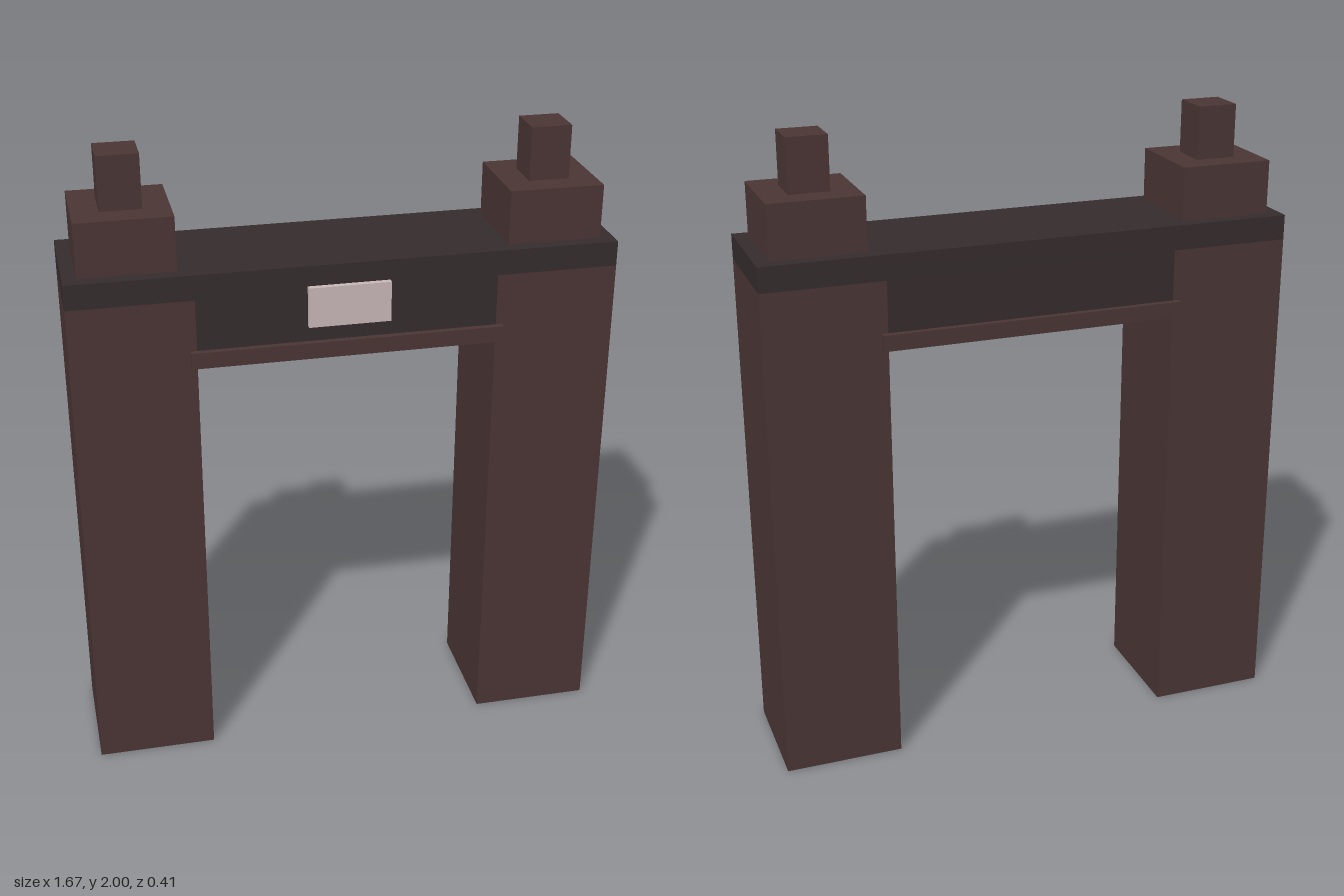
import * as THREE from 'three';

export function createModel() {
  const model = new THREE.Group();
  model.name = 'gateway';

  const mat = (name, color, side = THREE.FrontSide) => {
    const m = new THREE.MeshStandardMaterial({ color, side });
    m.name = name;
    return m;
  };
  const brown = mat('brown stone', 0x4a3534, THREE.DoubleSide);
  const dark = mat('dark stone', 0x352c2d, THREE.DoubleSide);
  const pale = mat('pale plaque', 0xc9b8b8);

  const add = (parent, name, geometry, material, x = 0, y = 0, z = 0) => {
    const mesh = new THREE.Mesh(geometry, material);
    mesh.name = name;
    mesh.position.set(x, y, z);
    parent.add(mesh);
  };
  // Box standing on height y0 and reaching y1
  const block = (parent, name, w, y0, y1, d, material, x = 0, z = 0) =>
    add(parent, name, new THREE.BoxGeometry(w, y1 - y0, d), material, x, (y0 + y1) / 2, z);

  const W = 0.833, INNER = 0.458, D = 0.375;
  const pillarW = W - INNER, pillarX = (W + INNER) / 2;
  const pillarTop = 1.59, beamTop = 1.668;

  // Towers: pillar hollow at the foot, with a stepped finial on top
  for (const side of [-1, 1]) {
    const tower = new THREE.Group();
    tower.name = side > 0 ? 'leftTower' : 'rightTower';
    tower.position.x = side * pillarX;
    const shaft = new THREE.BoxGeometry(pillarW, pillarTop, D);
    const index = Array.from(shaft.index.array);
    index.splice(18, 6); // leave the underside open
    shaft.setIndex(index);
    shaft.clearGroups();
    add(tower, 'pillar', shaft, brown, 0, pillarTop / 2, 0);
    const ceiling = new THREE.PlaneGeometry(pillarW, D).rotateX(Math.PI / 2);
    add(tower, 'footRecess', ceiling, dark, 0, 0.19, 0);
    block(tower, 'finialBase', 0.29, beamTop, 1.835, 0.29, brown);
    block(tower, 'finialTop', 0.125, 1.835, 2, 0.125, brown);
    model.add(tower);
  }

  // Beam: drops between the pillars and caps them
  const profile = new THREE.Shape([
    [-INNER, 1.42], [INNER, 1.42], [INNER, pillarTop], [W, pillarTop],
    [W, beamTop], [-W, beamTop], [-W, pillarTop], [-INNER, pillarTop],
  ].map(([x, y]) => new THREE.Vector2(x, y)));
  const beam = new THREE.ExtrudeGeometry(profile, { depth: D, bevelEnabled: false });
  add(model, 'beam', beam, dark, 0, 0, -D / 2);

  // Ledge under the beam and the plaque on its front
  block(model, 'ledge', 0.956, 1.38, 1.43, 0.415, brown);
  block(model, 'plaque', 0.25, 1.48, 1.605, 0.018, pale, 0, D / 2 + 0.009);

  return model;
}
